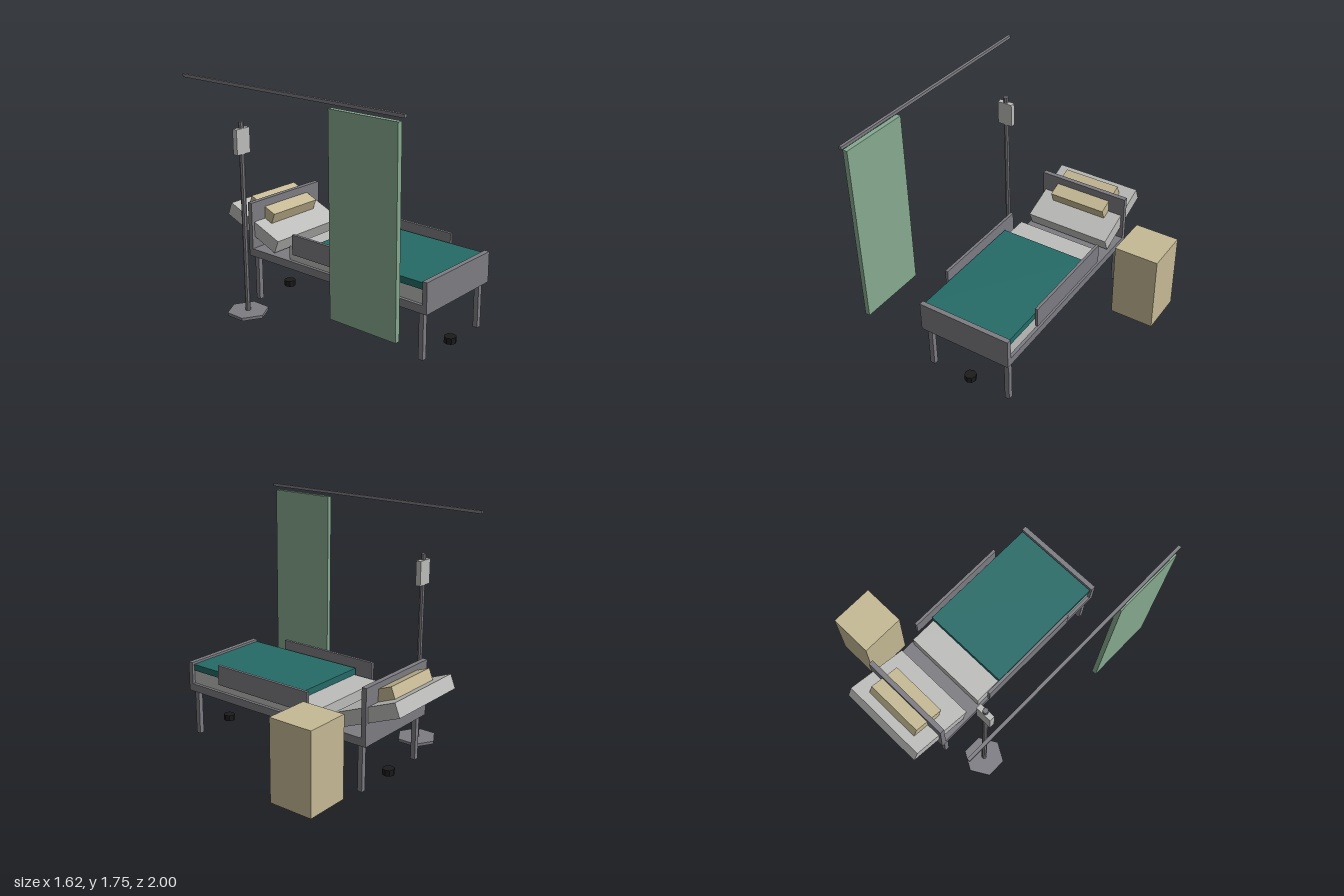
import * as THREE from 'three';

const material = (name, color) => {
  const m = new THREE.MeshStandardMaterial({ color });
  m.name = name;
  return m;
};

export function createModel() {
  const model = new THREE.Group();
  model.name = 'hospitalBay';

  const metal = material('grey metal', 0x7c7c82);
  const linen = material('pale grey linen', 0xbdbdbb);
  const beige = material('beige', 0xc6ba95);
  const teal = material('teal blanket', 0x256b68);
  const green = material('green curtain', 0x86aa90);
  const rubber = material('black rubber', 0x1b1b1c);

  const add = (parent, name, geometry, mat, x, y, z) => {
    const mesh = new THREE.Mesh(geometry, mat);
    mesh.name = name;
    mesh.position.set(x, y, z);
    parent.add(mesh);
    return mesh;
  };
  // Box given by its limits on each axis
  const box = (parent, name, mat, [x0, x1], [y0, y1], [z0, z1]) =>
    add(parent, name, new THREE.BoxGeometry(x1 - x0, y1 - y0, z1 - z0), mat,
      (x0 + x1) / 2, (y0 + y1) / 2, (z0 + z1) / 2);
  // Flat-sided cylinder with a vertical axis
  const prism = (parent, name, mat, r, h, sides, x, y, z) =>
    add(parent, name, new THREE.CylinderGeometry(r, r, h, sides).toNonIndexed(), mat, x, y, z)
      .geometry.computeVertexNormals();

  // Bed, centred on its own x = 0
  const bed = new THREE.Group();
  bed.name = 'bed';
  bed.position.x = -0.021;
  model.add(bed);
  box(bed, 'bedFrame', metal, [-0.359, 0.359], [0.343, 0.402], [-0.755, 0.874]);
  box(bed, 'footboard', metal, [-0.359, 0.359], [0.343, 0.568], [0.837, 0.874]);
  box(bed, 'headboard', metal, [-0.359, 0.359], [0.343, 0.756], [-0.755, -0.718]);
  box(bed, 'mattress', linen, [-0.336, 0.336], [0.402, 0.506], [-0.362, 0.837]);
  box(bed, 'blanket', teal, [-0.347, 0.347], [0.506, 0.554], [0.83 - 0.98, 0.83]);

  // Raised back section and pillow share one tilt
  const tilt = THREE.MathUtils.degToRad(22);
  add(bed, 'backrest', new THREE.BoxGeometry(0.672, 0.105, 0.52), linen, 0, 0.558, -0.738).rotation.x = tilt;
  add(bed, 'pillow', new THREE.BoxGeometry(0.452, 0.086, 0.254), beige, 0, 0.666, -0.753).rotation.x = tilt;

  for (const s of [-1, 1]) {
    const side = s < 0 ? 'right' : 'left';
    add(bed, side + 'SideRail', new THREE.BoxGeometry(0.022, 0.15, 0.833), metal, s * 0.373, 0.546, 0.129);
    for (const [end, z] of [['Front', 0.818], ['Rear', -0.7]])
      add(bed, side + end + 'Leg', new THREE.BoxGeometry(0.037, 0.343, 0.037), metal, s * 0.32, 0.1715, z);
  }
  for (const [end, z] of [['front', 0.818], ['rear', -0.7]])
    prism(bed, end + 'Caster', rubber, 0.044, 0.045, 8, 0, 0.0225, z);

  // Drip stand
  const stand = new THREE.Group();
  stand.name = 'dripStand';
  stand.position.set(-0.607, 0, -0.549);
  model.add(stand);
  prism(stand, 'standBase', metal, 0.15, 0.022, 6, 0, 0.029, 0);
  prism(stand, 'standPole', metal, 0.019, 1.435, 8, 0, 0.7175, 0);
  box(stand, 'fluidBag', linen, [-0.06, 0.06], [1.21, 1.39], [-0.02, 0.02]);

  // Bedside cabinet
  box(model, 'bedsideCabinet', beige, [0.47, 0.808], [0, 0.604], [-0.681, -0.342]);

  // Privacy curtain and its overhead rail
  box(model, 'curtain', green, [-0.813, -0.777], [0.341, 1.702], [0.436, 0.963]);
  box(model, 'curtainRail', metal, [-0.806, -0.784], [1.728, 1.75], [-0.888, 1]);

  return model;
}
